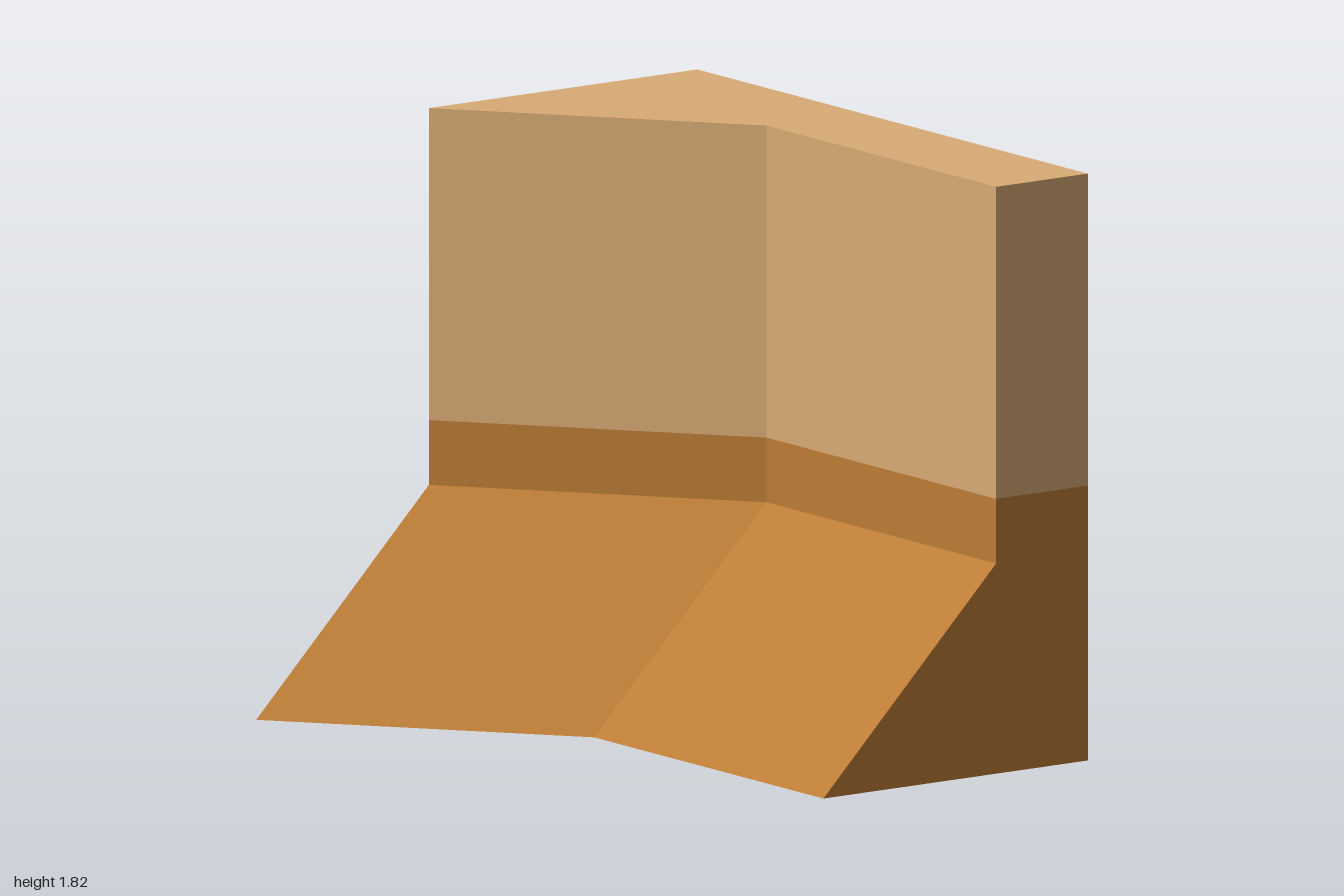
import * as THREE from 'three';

// Plan outline of the bent wall as [x, z]; the last three points are the front edge
const plan = [[-1, -0.83], [1, -0.83], [1, -0.485], [-0.175, -0.485], [-1, 0.18]];
const FLARE = 0.65; // how far the foot reaches forward at the ground

// The outline at height y, with its front edge pushed forward
const ring = (y, forward = 0) =>
  plan.map(([x, z], i) => new THREE.Vector3(x, y, i >= 2 ? z + forward : z));

// Fan around the inner corner of the bend
const fan = [[3, 4, 0], [3, 0, 1], [3, 1, 2]];

// Closes the walls between two rings, with an optional floor and roof
function band(name, material, low, high, { floor = false, roof = false } = {}) {
  const points = [];
  low.forEach((a, i) => {
    const j = (i + 1) % low.length;
    points.push(a, high[j], low[j], a, high[i], high[j]);
  });
  for (const [a, b, c] of fan) {
    if (floor) points.push(low[a], low[b], low[c]);
    if (roof) points.push(high[a], high[c], high[b]);
  }
  const geometry = new THREE.BufferGeometry().setFromPoints(points);
  geometry.computeVertexNormals(); // unshared corners keep every face flat
  const mesh = new THREE.Mesh(geometry, material);
  mesh.name = name;
  return mesh;
}

export function createModel() {
  const brown = new THREE.MeshStandardMaterial({ color: 0xbd7d37 });
  brown.name = 'warm brown';
  const tan = new THREE.MeshStandardMaterial({ color: 0xd8ab75 });
  tan.name = 'light tan';

  const model = new THREE.Group();
  model.name = 'bentWall';
  model.add(
    band('slopedFoot', brown, ring(0, FLARE), ring(0.65), { floor: true }),
    band('lowerWall', brown, ring(0.65), ring(0.85)),
    band('upperWall', tan, ring(0.85), ring(1.815), { roof: true }),
  );
  return model;
}
